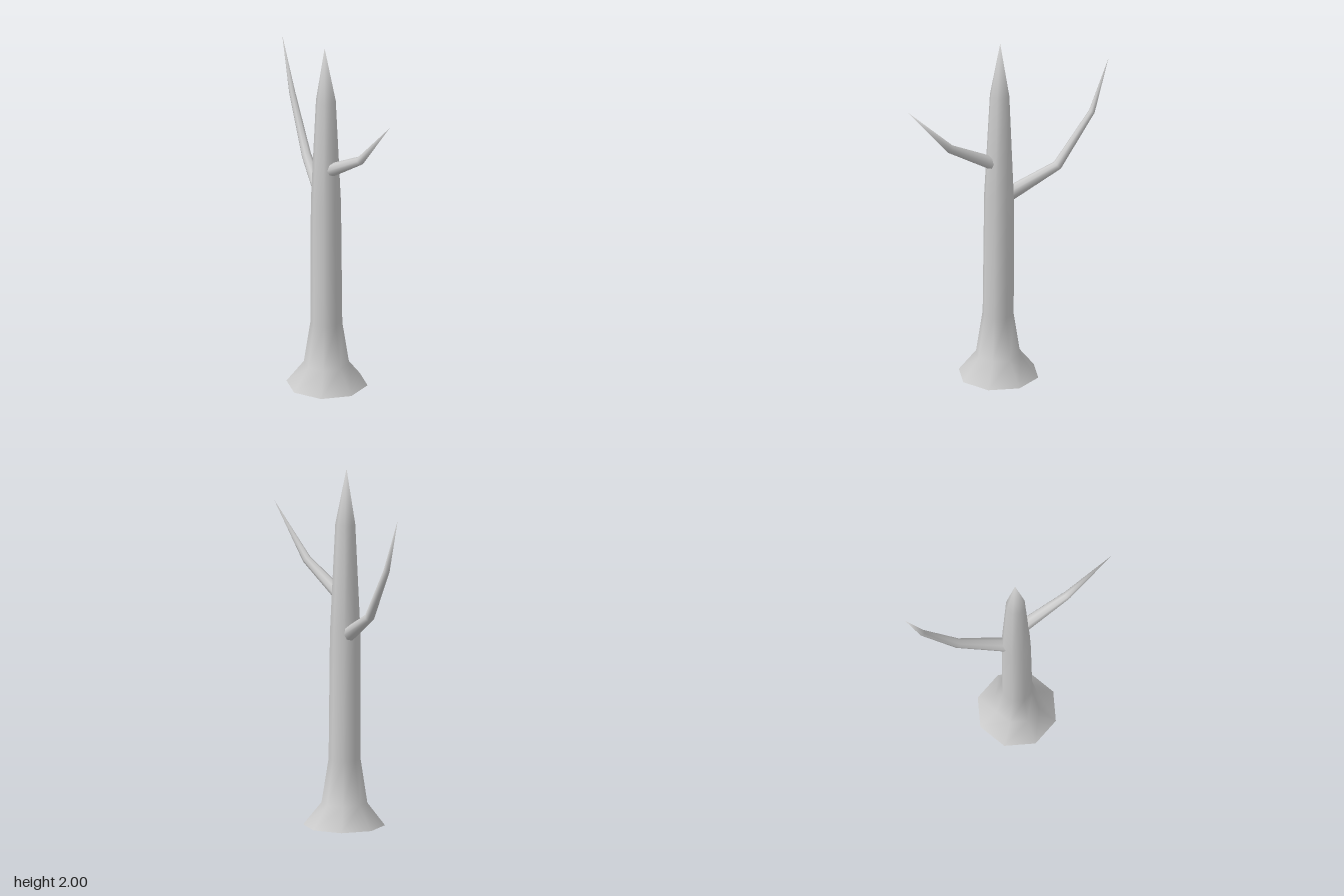
import * as THREE from 'three';

const SIDES = 8;
const material = new THREE.MeshStandardMaterial({ color: 0xcccccc, side: THREE.DoubleSide });

// Smooth tapering limb: octagonal rings [x, y, z, radius] joined up and closed to a point.
function limb(name, rings, tip, fixedDir) {
  const centres = [...rings, tip].map(([x, y, z]) => new THREE.Vector3(x, y, z));
  const front = new THREE.Vector3(0, 0, 1);
  const positions = [];
  const index = [];

  rings.forEach(([, , , radius], r) => {
    // each ring lies across the average direction of its neighbouring segments
    const after = centres[r + 1].clone().sub(centres[r]).normalize();
    const before = r ? centres[r].clone().sub(centres[r - 1]).normalize() : after;
    const dir = fixedDir ?? after.clone().add(before).normalize();
    const u = dir.clone().cross(front).normalize();
    const v = u.clone().cross(dir);
    for (let i = 0; i < SIDES; i++) {
      const a = (i / SIDES) * Math.PI * 2;
      const p = centres[r].clone()
        .addScaledVector(u, Math.cos(a) * radius)
        .addScaledVector(v, Math.sin(a) * radius);
      positions.push(p.x, p.y, p.z);
    }
  });
  positions.push(...tip);

  const tipIndex = rings.length * SIDES;
  for (let r = 0; r < rings.length; r++) {
    for (let i = 0; i < SIDES; i++) {
      const a = r * SIDES + i;
      const b = r * SIDES + ((i + 1) % SIDES);
      if (r === rings.length - 1) index.push(a, tipIndex, b);
      else index.push(a, a + SIDES, b, b, a + SIDES, b + SIDES);
    }
  }

  const geometry = new THREE.BufferGeometry();
  geometry.setAttribute('position', new THREE.Float32BufferAttribute(positions, 3));
  geometry.setIndex(index);
  geometry.computeVertexNormals();
  const mesh = new THREE.Mesh(geometry, material);
  mesh.name = name;
  return mesh;
}

export function createModel() {
  const tree = new THREE.Group();
  tree.name = 'bareTree';

  // Trunk with flared, open foot and pointed top
  tree.add(limb('trunk', [
    [0.014, 0, -0.002, 0.225],
    [0.014, 0.125, 0.001, 0.126],
    [0.014, 0.37, 0.002, 0.088],
    [0.009, 1.08, 0.002, 0.084],
    [0.006, 1.69, 0, 0.055],
  ], [0, 2, 0.004], new THREE.Vector3(0, 1, 0)));

  // Left branch, one bend
  tree.add(limb('leftBranch', [
    [0.06, 1.292, -0.001, 0.037],
    [0.323, 1.44, -0.001, 0.024],
  ], [0.595, 1.73, 0]));

  // Right branch, two bends, leaning backwards
  tree.add(limb('rightBranch', [
    [-0.045, 1.083, -0.015, 0.041],
    [-0.305, 1.228, -0.098, 0.027],
    [-0.498, 1.527, -0.143, 0.017],
  ], [-0.6, 1.83, -0.151]));

  return tree;
}
